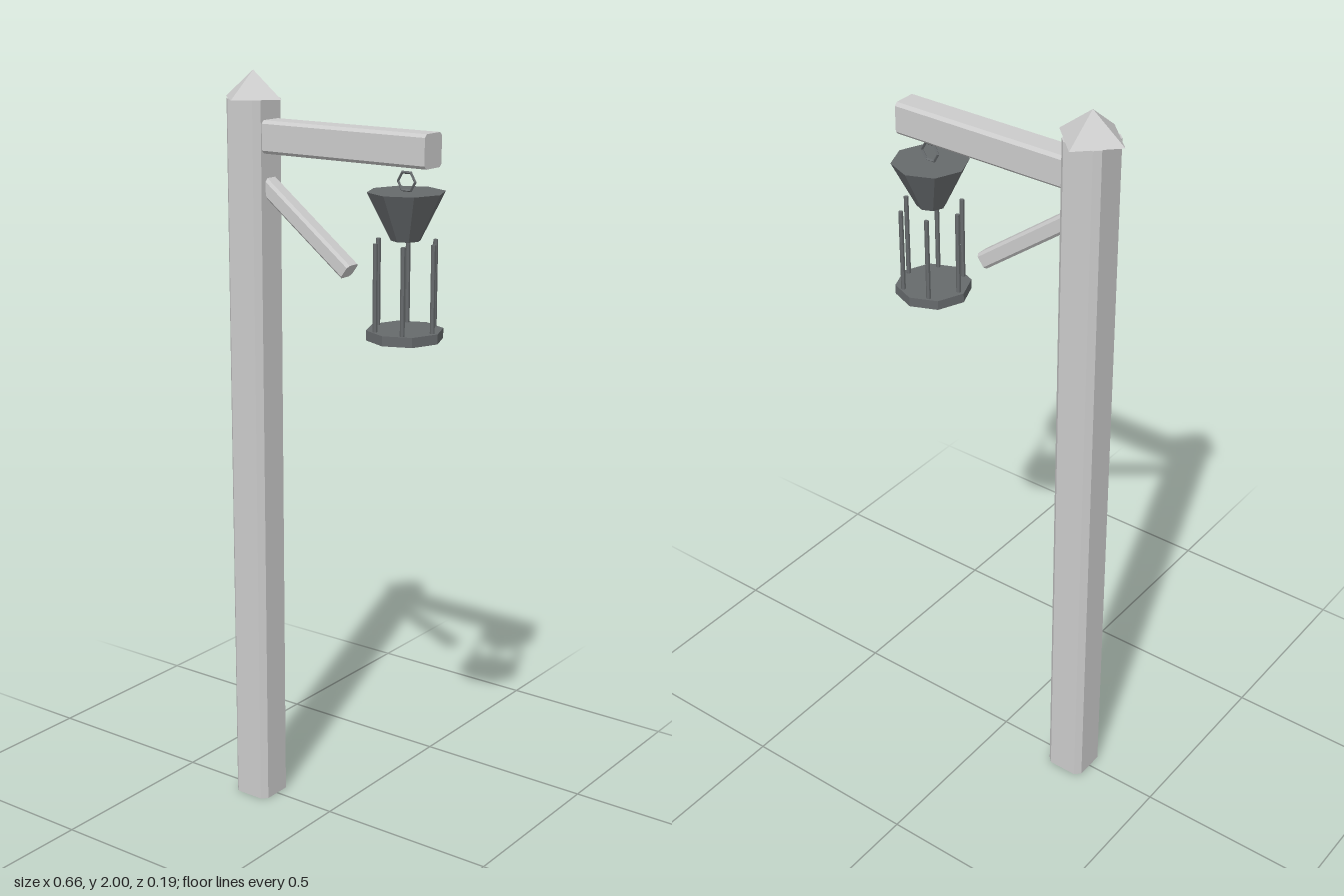
import * as THREE from 'three';

const wood = new THREE.MeshStandardMaterial({ color: 0xcccccc, flatShading: true });
const iron = new THREE.MeshStandardMaterial({ color: 0x666a6c, flatShading: true });

function part(parent, name, geometry, material, x = 0, y = 0, z = 0) {
  const mesh = new THREE.Mesh(geometry, material);
  mesh.name = name;
  mesh.position.set(x, y, z);
  parent.add(mesh);
  return mesh;
}

// Timber with chamfered long edges, running from the origin along +z
function timber(width, height, length, chamfer) {
  const w = width / 2, h = height / 2, c = chamfer;
  const section = new THREE.Shape([
    [w - c, -h], [w, -h + c], [w, h - c], [w - c, h],
    [-w + c, h], [-w, h - c], [-w, -h + c], [-w + c, -h],
  ].map(([x, y]) => new THREE.Vector2(x, y)));
  return new THREE.ExtrudeGeometry(section, { depth: length, bevelEnabled: false });
}

export function createModel() {
  const model = new THREE.Group();
  model.name = 'lanternPost';
  const postX = -0.24, lampX = 0.23;

  // Post and its pyramid cap
  part(model, 'post', timber(0.11, 0.11, 1.93, 0.015).rotateX(-Math.PI / 2), wood, postX);
  part(model, 'postCap', new THREE.ConeGeometry(0.09, 0.07, 4), wood, postX, 1.965);

  // Horizontal arm, starting inside the post
  part(model, 'arm', timber(0.073, 0.083, 0.545, 0.008).rotateY(Math.PI / 2), wood, postX, 1.839);

  // Sloping brace below the arm
  const brace = part(model, 'brace', timber(0.046, 0.043, 0.377, 0.007).rotateY(Math.PI / 2), wood, postX, 1.749);
  brace.rotation.z = -0.646;

  // Hanging lantern
  const lantern = new THREE.Group();
  lantern.name = 'lantern';
  lantern.position.x = lampX;
  model.add(lantern);
  part(lantern, 'hangingRing', new THREE.TorusGeometry(0.025, 0.004, 4, 6), iron, 0, 1.76);
  part(lantern, 'lanternHood', new THREE.CylinderGeometry(0.097, 0.037, 0.118, 8), iron, 0, 1.677);
  part(lantern, 'lanternBase', new THREE.CylinderGeometry(0.097, 0.097, 0.025, 8), iron, 0, 1.385);

  // Six upright bars around the base
  for (let i = 0; i < 6; i++) {
    const a = i * Math.PI / 3;
    part(lantern, 'lanternBar', new THREE.CylinderGeometry(0.006, 0.006, 0.22, 6), iron,
      0.081 * Math.cos(a), 1.505, 0.081 * Math.sin(a));
  }
  return model;
}
